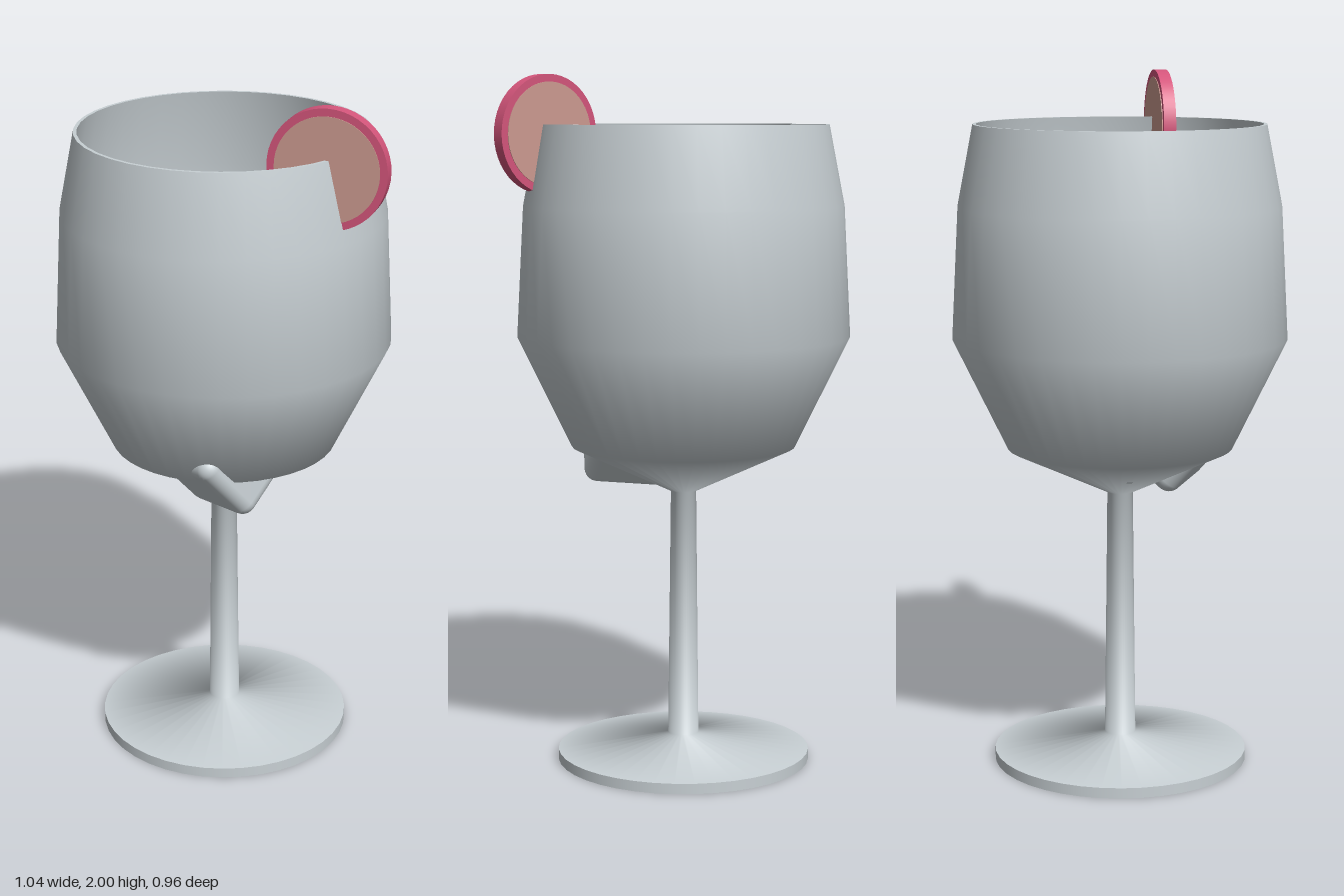
import * as THREE from 'three';
import { RoundedBoxGeometry } from 'three/addons/geometries/RoundedBoxGeometry.js';

const AXIS_X = -0.04; // axis of the glass
const LEVEL = 1.53; // drink surface

const material = (name, color, side = THREE.FrontSide) => {
  const m = new THREE.MeshStandardMaterial({ color, side });
  m.name = name;
  return m;
};

export function createModel() {
  const group = new THREE.Group();
  const glass = material('pale glass', 0xc8d0d4);
  const pink = material('pink drink', 0xdfb3c1);
  const rindPink = material('rind pink', 0xd4557b);
  const flesh = material('fruit flesh', 0xcc9a90);

  const add = (name, geometry, mat, parent = group) => {
    const mesh = new THREE.Mesh(geometry, mat);
    mesh.name = name;
    parent.add(mesh);
    return mesh;
  };
  const lathe = (name, points, mat) => {
    const profile = points.map(([r, y]) => new THREE.Vector2(r, y));
    const mesh = add(name, new THREE.LatheGeometry(profile, 40), mat);
    mesh.position.x = AXIS_X;
    return mesh;
  };

  // Underside and edge of the foot
  lathe('footUnderside', [[0, 0], [0.37, 0]], glass);
  lathe('footEdge', [[0.37, 0], [0.37, 0.03]], glass);

  // Foot, stem and outer bowl in one smooth sweep
  lathe('glassOutside', [
    [0.37, 0.03], [0.045, 0.075], [0.037, 0.8], [0.325, 0.935],
    [0.48, 1.255], [0.46, 1.63], [0.415, 1.86],
  ], glass);

  // Rim and inner wall
  lathe('rim', [[0.415, 1.86], [0.405, 1.86]], glass);
  lathe('glassInside', [
    [0.405, 1.86], [0.45, 1.63], [0.47, 1.255], [0.315, 0.94], [0, 0.81],
  ], glass);

  // Drink: surface and body
  lathe('drinkSurface', [[0.452, LEVEL], [0, LEVEL]], pink);
  lathe('drinkBody', [[0, 0.83], [0.305, 0.95], [0.463, 1.255], [0.452, LEVEL]], pink);

  // Ice cubes: one floating, two sunk to the bottom of the bowl
  const ice = [
    { size: 0.28, at: [-0.08, 1.39, 0.2], turn: [-0.4, 0, 0.3] },
    { size: 0.25, at: [0.09, 0.965, 0.13], turn: [0.72, 0, 0.12] },
    { size: 0.2, at: [-0.17, 1.0, 0.06], turn: [0.6, 0.3, 0.5] },
  ];
  for (const { size, at, turn } of ice) {
    const cube = add('iceCube', new RoundedBoxGeometry(size, size, size, 4, 0.04), glass);
    cube.position.set(...at);
    cube.rotation.set(...turn);
  }

  // Fruit slice resting on the rim, flesh discs on both faces
  const slice = new THREE.Group();
  slice.name = 'fruitSlice';
  const rind = add('rind', new THREE.CylinderGeometry(0.167, 0.167, 0.036, 48), rindPink, slice);
  rind.rotation.x = Math.PI / 2;
  for (const s of [1, -1]) {
    const disc = add('sliceFlesh', new THREE.CylinderGeometry(0.146, 0.146, 0.004, 48), flesh, slice);
    disc.rotation.x = Math.PI / 2;
    disc.position.z = s * 0.018;
  }
  slice.position.set(0.36, 1.833, 0);
  slice.rotation.y = 0.47;
  group.add(slice);

  return group;
}
